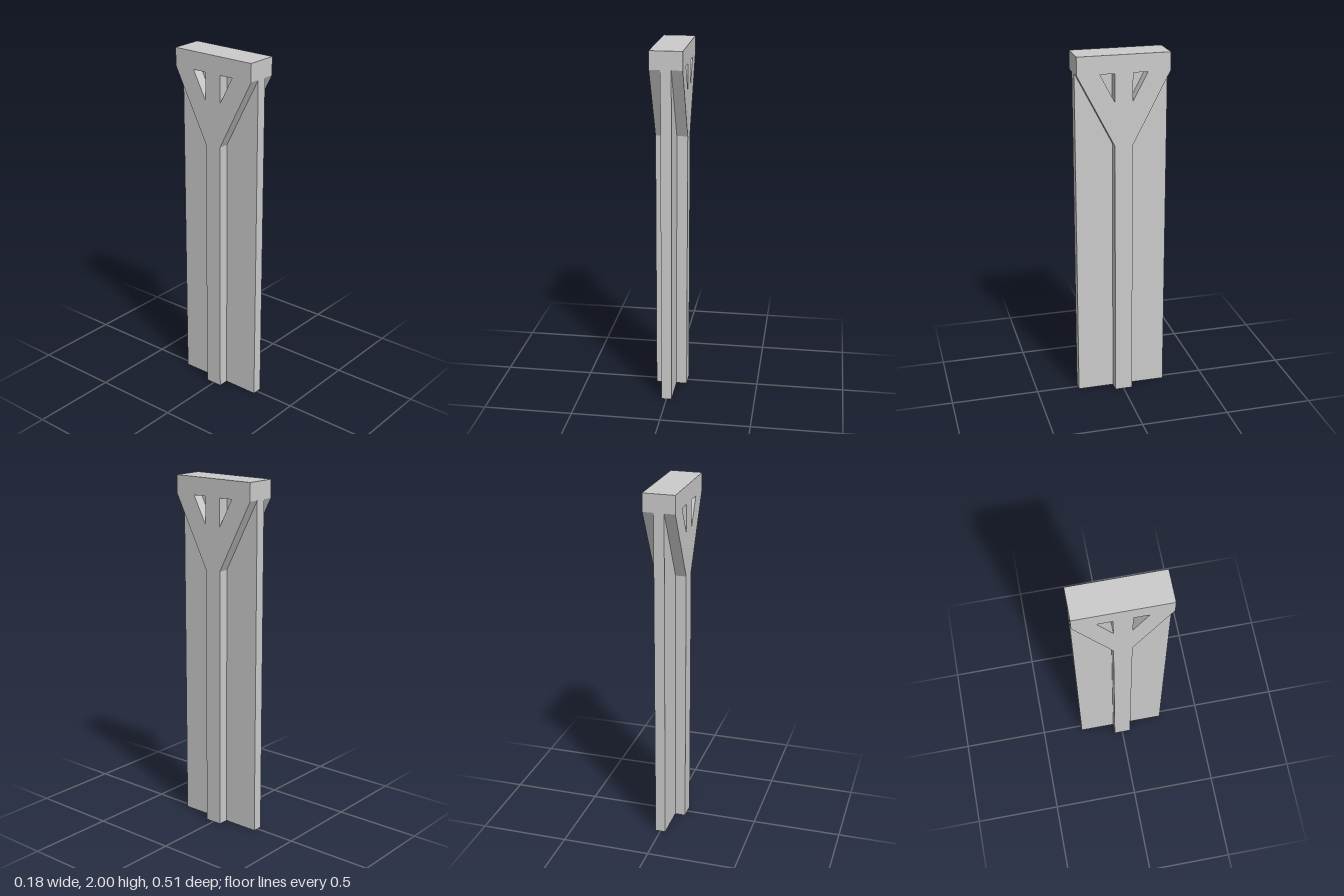
import * as THREE from 'three';

const HALF_WIDTH = 0.089;   // x
const HALF_DEPTH = 0.257;   // z
const WEB = 0.029;          // half thickness of the central web
const STEM = 0.05;          // half width of the rib stem
const HEIGHT = 2, CAP_Y = 1.9, FORK_Y = 1.5, POCKET_Y = 1.745, POCKET_Z = 0.132;

const outline = (points) => points.map(([z, y]) => new THREE.Vector2(z, y));

export function createModel() {
  const group = new THREE.Group();
  const material = new THREE.MeshStandardMaterial({ color: 0xcccccc, flatShading: true });

  // Full-height flat web
  const web = new THREE.Mesh(new THREE.BoxGeometry(2 * WEB, HEIGHT, 2 * HALF_DEPTH), material);
  web.name = 'centralWeb';
  web.position.y = HEIGHT / 2;
  group.add(web);

  // Rib profile: slim stem forking out into a wide cap
  const profile = new THREE.Shape(outline([
    [-STEM, 0], [STEM, 0], [STEM, FORK_Y], [HALF_DEPTH, CAP_Y], [HALF_DEPTH, HEIGHT],
    [-HALF_DEPTH, HEIGHT], [-HALF_DEPTH, CAP_Y], [-STEM, FORK_Y],
  ]));

  // Triangular pockets between stem, braces and cap
  for (const s of [-1, 1]) {
    profile.holes.push(new THREE.Path(outline([
      [s * STEM, POCKET_Y], [s * STEM, CAP_Y], [s * POCKET_Z, CAP_Y],
    ])));
  }

  // One rib on each face of the web
  const ribGeometry = new THREE.ExtrudeGeometry(profile, { depth: HALF_WIDTH - WEB, bevelEnabled: false });
  ribGeometry.rotateY(-Math.PI / 2);
  for (const [name, x] of [['leftBracedRib', HALF_WIDTH], ['rightBracedRib', -WEB]]) {
    const rib = new THREE.Mesh(ribGeometry, material);
    rib.name = name;
    rib.position.x = x;
    group.add(rib);
  }
  return group;
}
